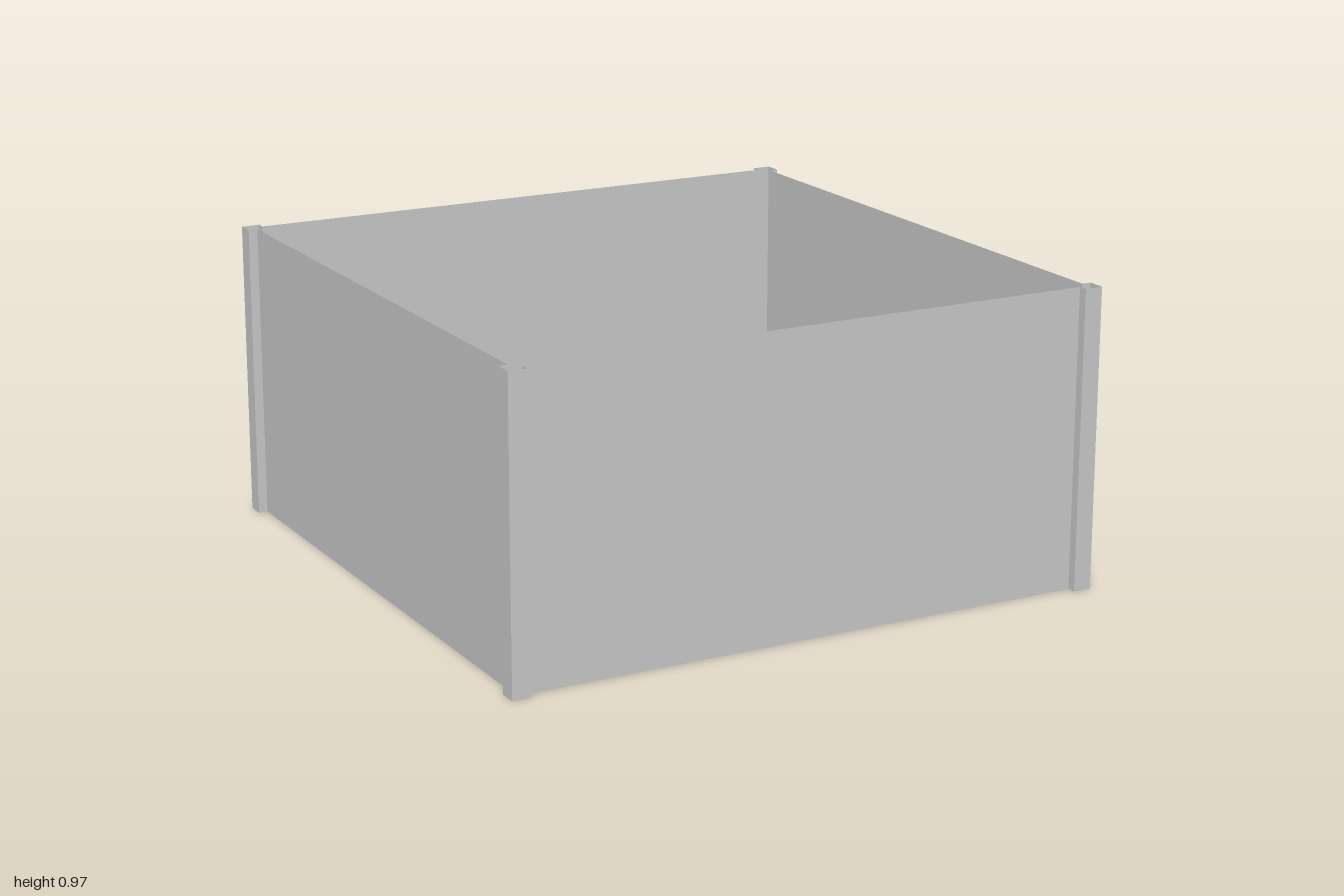
import * as THREE from 'three';

const HEIGHT = 0.97, OUTER = 1, INNER = 0.94, WALL = 0.97;

const material = new THREE.MeshStandardMaterial({
  color: 0xcccccc, side: THREE.DoubleSide, flatShading: true,
});

// Upright thin sheet following a ground path of [x, z] points
function sheet(name, path) {
  const positions = [];
  for (let i = 0; i < path.length - 1; i++) {
    const [ax, az] = path[i], [bx, bz] = path[i + 1];
    positions.push(
      ax, 0, az, bx, 0, bz, bx, HEIGHT, bz,
      ax, 0, az, bx, HEIGHT, bz, ax, HEIGHT, az,
    );
  }
  const geometry = new THREE.BufferGeometry();
  geometry.setAttribute('position', new THREE.Float32BufferAttribute(positions, 3));
  geometry.computeVertexNormals();
  const mesh = new THREE.Mesh(geometry, material);
  mesh.name = name;
  return mesh;
}

export function createModel() {
  const model = new THREE.Group();
  model.name = 'openEnclosure';

  const sides = ['front', 'left', 'back', 'right'];
  sides.forEach((side, i) => {
    const quarter = new THREE.Group();
    quarter.name = side + 'Side';

    // Recessed wall panel
    quarter.add(sheet(side + 'Wall', [[-INNER, WALL], [INNER, WALL]]));

    // Hollow corner post: return, two outer faces, return
    quarter.add(sheet(side + 'CornerPost', [
      [INNER, WALL], [INNER, OUTER], [OUTER, OUTER], [OUTER, INNER], [WALL, INNER],
    ]));

    quarter.rotation.y = i * Math.PI / 2;
    model.add(quarter);
  });

  return model;
}
